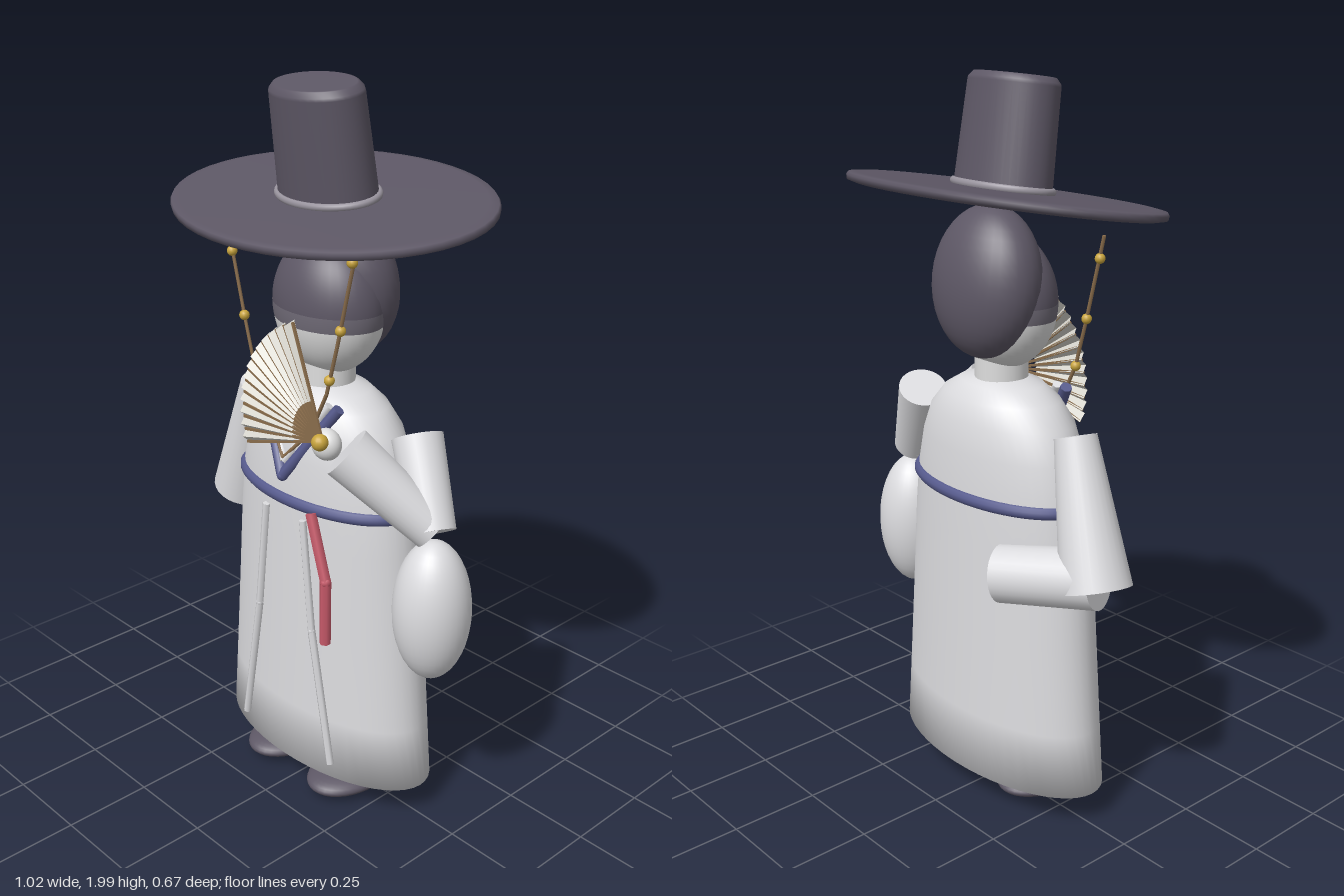
import * as THREE from 'three';
import { mergeVertices } from 'three/addons/utils/BufferGeometryUtils.js';

const mat = (name, color, side = THREE.FrontSide) => {
  const m = new THREE.MeshStandardMaterial({ color, side });
  m.name = name;
  return m;
};
const V = (p) => new THREE.Vector3(...p);

export function createModel() {
  const model = new THREE.Group();
  const white = mat('white cloth', 0xdcdcdf, THREE.DoubleSide);
  const skin = mat('pale skin', 0xdedede);
  const dark = mat('dark horsehair', 0x5d5765);
  const band = mat('headband grey', 0x6f6a76);
  const cordGrey = mat('hat cord grey', 0x99949e);
  const navy = mat('navy trim', 0x565a8c);
  const red = mat('red ribbon', 0xc85a6a);
  const gold = mat('gold', 0xc8a43c);
  const brown = mat('bamboo brown', 0x8a6d4c);
  const cream = mat('fan paper', 0xd6d4cc, THREE.DoubleSide);

  const add = (name, geo, material, pos = [0, 0, 0], parent = model) => {
    const m = new THREE.Mesh(geo, material);
    m.name = name;
    m.position.set(...pos);
    parent.add(m);
    return m;
  };
  const ellipsoid = (name, material, pos, radii, t0 = 0, t1 = Math.PI) => {
    const geo = new THREE.SphereGeometry(1, 36, 20, 0, Math.PI * 2, t0, t1 - t0);
    return add(name, geo.scale(...radii), material, pos);
  };
  // Tapered cylinder between two points
  const limb = (name, material, a, b, ra, rb, sides = 28) => {
    const p = V(a), q = V(b), dir = q.clone().sub(p);
    const m = add(name, new THREE.CylinderGeometry(rb, ra, dir.length(), sides), material);
    m.position.copy(p).add(q).multiplyScalar(0.5);
    m.quaternion.setFromUnitVectors(new THREE.Vector3(0, 1, 0), dir.normalize());
    return m;
  };
  // Straight-sided cord through points
  const cord = (name, material, pts, r, sides = 8) => {
    for (let i = 0; i < pts.length - 1; i++) limb(name, material, pts[i], pts[i + 1], r, r, sides);
    for (const p of pts.slice(1, -1)) add(name + 'Joint', new THREE.SphereGeometry(r, 10, 8), material, p);
  };

  // Robe: elliptical rings of [y, half width, half depth]
  const rings = [[0.1, 0.001, 0.001], [0.1, 0.375, 0.178], [0.28, 0.36, 0.173], [0.55, 0.337, 0.168],
    [0.8, 0.317, 0.164], [0.93, 0.3, 0.162], [1.03, 0.275, 0.158], [1.11, 0.24, 0.148],
    [1.165, 0.19, 0.125], [1.2, 0.13, 0.095], [1.215, 0.06, 0.06]];
  const robe = new THREE.LatheGeometry(rings.map(([y, w]) => new THREE.Vector2(w, y)), 48);
  const pos = robe.attributes.position;
  for (let i = 0; i < pos.count; i++) {
    const [, w, d] = rings[i % rings.length];
    pos.setZ(i, pos.getZ(i) * d / w);
  }
  robe.deleteAttribute('uv');
  robe.deleteAttribute('normal');
  const robeGeo = mergeVertices(robe);
  robeGeo.computeVertexNormals();
  add('robe', robeGeo, white);

  // Belt
  const loop = [];
  for (let i = 0; i < 32; i++) {
    const a = i / 32 * Math.PI * 2;
    loop.push(new THREE.Vector3(Math.cos(a) * 0.295, 0.91, Math.sin(a) * 0.158));
  }
  add('belt', new THREE.TubeGeometry(new THREE.CatmullRomCurve3(loop, true), 72, 0.018, 10, true), navy);

  // Collar, robe folds, ribbon
  cord('collar', navy, [[-0.145, 1.19, 0.1], [0, 0.98, 0.168], [0.145, 1.19, 0.1]], 0.016);
  for (const s of [-1, 1]) {
    cord('innerCollar', white, [[s * 0.11, 1.19, 0.1], [0, 1.02, 0.16]], 0.012);
    cord('robeFold', white, [[s * 0.073, 0.87, 0.163], [s * 0.108, 0.55, 0.165], [s * 0.18, 0.15, 0.163]], 0.011, 6);
  }
  cord('ribbon', red, [[0.11, 0.905, 0.167], [0.175, 0.73, 0.175], [0.175, 0.545, 0.177]], 0.016, 6);

  // Shoes
  for (const s of [-1, 1]) ellipsoid('shoe', dark, [s * 0.13, 0.04, 0.037], [0.1, 0.036, 0.143]);

  // Neck, head, headband and hair
  limb('neck', skin, [0, 1.17, 0], [0, 1.3, 0], 0.072, 0.072);
  const headAt = [0, 1.42, 0], headSize = [0.17, 0.185, 0.127];
  ellipsoid('face', skin, headAt, headSize, 1.79);
  ellipsoid('headband', band, headAt, headSize, Math.PI / 2, 1.79);
  ellipsoid('headwrap', dark, headAt, headSize, 0, Math.PI / 2);
  ellipsoid('hair', dark, [0, 1.472, -0.052], [0.173, 0.2, 0.116]).rotation.x = 0.14;

  // Hat, tipped forward
  const hat = new THREE.Group();
  hat.name = 'hat';
  hat.position.set(0, 1.69, 0);
  hat.rotation.x = 0.148;
  model.add(hat);
  const brim = [[0, -0.013], [0.465, -0.013], [0.488, -0.008], [0.49, 0.004], [0.485, 0.011], [0.46, 0.014], [0, 0.016]];
  add('brim', new THREE.LatheGeometry(brim.map((p) => new THREE.Vector2(...p)), 48).scale(1, 1, 0.694), dark, [0, 0, 0], hat);
  const crown = [[0.152, 0], [0.141, 0.278], [0.139, 0.286], [0.126, 0.299], [0.12, 0.3], [0, 0.3]];
  add('crown', new THREE.LatheGeometry(crown.map((p) => new THREE.Vector2(...p)), 40).scale(1, 1, 0.69), dark, [0, 0, 0], hat);
  add('hatCord', new THREE.TorusGeometry(0.152, 0.01, 10, 48).rotateX(Math.PI / 2).scale(1, 1, 0.7), cordGrey, [0, 0.022, 0], hat);

  // Beaded chin strings
  for (const s of [-1, 1]) {
    const path = [[0.235, 1.6], [0.178, 1.375], [0.14, 1.24], [0.08, 1.12], [0, 1.03]];
    cord('chinString', brown, path.map(([x, y], i) => [s * x, y, i < 4 ? 0.138 : 0.165]), 0.005, 6);
    const beads = s < 0 ? [[0.222, 1.54], [0.178, 1.375], [0.14, 1.24]] : [[0.23, 1.6], [0.19, 1.42], [0.15, 1.28]];
    for (const [x, y] of beads) add('bead', new THREE.SphereGeometry(0.014, 14, 10), gold, [s * x, y, 0.138]);
  }

  // Right arm, folded behind the back
  limb('rightUpperSleeve', white, [-0.295, 1.115, -0.01], [-0.42, 0.745, -0.05], 0.056, 0.095);
  limb('rightForeSleeve', white, [-0.43, 0.775, -0.05], [-0.17, 0.735, -0.15], 0.08, 0.078);

  // Left arm, raised, with hanging sleeve
  limb('leftUpperSleeve', white, [0.29, 1.12, -0.04], [0.41, 0.91, 0.02], 0.068, 0.06);
  limb('leftForeSleeve', white, [0.405, 0.915, 0.015], [0.22, 1.11, 0.145], 0.058, 0.073);
  ellipsoid('hangingSleeve', white, [0.405, 0.68, 0.01], [0.105, 0.2, 0.105]);
  ellipsoid('leftHand', skin, [0.185, 1.13, 0.18], [0.042, 0.042, 0.036]);

  // Pleated fan spread around a pivot
  const fan = new THREE.Group();
  fan.name = 'fan';
  fan.position.set(0.2, 1.15, 0.212);
  model.add(fan);
  const folds = 26, start = 1.93, sweep = 1.51, verts = [], index = [];
  for (let i = 0; i <= folds; i++) {
    const a = start + sweep * i / folds, z = i % 2 ? 0.013 : -0.011;
    const inner = 0.105, outer = i % 2 ? 0.3 : 0.31;
    verts.push(Math.cos(a) * inner, Math.sin(a) * inner, z * 0.4);
    verts.push(Math.cos(a) * outer, Math.sin(a) * outer, z);
    if (i < folds) index.push(2 * i, 2 * i + 2, 2 * i + 1, 2 * i + 1, 2 * i + 2, 2 * i + 3);
    if (i % 2 === 0) {
      const rib = new THREE.BoxGeometry(0.305, 0.007, 0.006).translate(0.1525, 0, 0);
      add('fanRib', rib, brown, [0, 0, -0.004], fan).rotation.z = a;
    }
  }
  let leaf = new THREE.BufferGeometry();
  leaf.setAttribute('position', new THREE.Float32BufferAttribute(verts, 3));
  leaf.setIndex(index);
  leaf = leaf.toNonIndexed();
  leaf.computeVertexNormals();
  add('fanLeaf', leaf, cream, [0, 0, 0], fan);
  add('fanPivot', new THREE.SphereGeometry(0.022, 16, 12), gold, [0, 0, 0.005], fan);

  return model;
}
